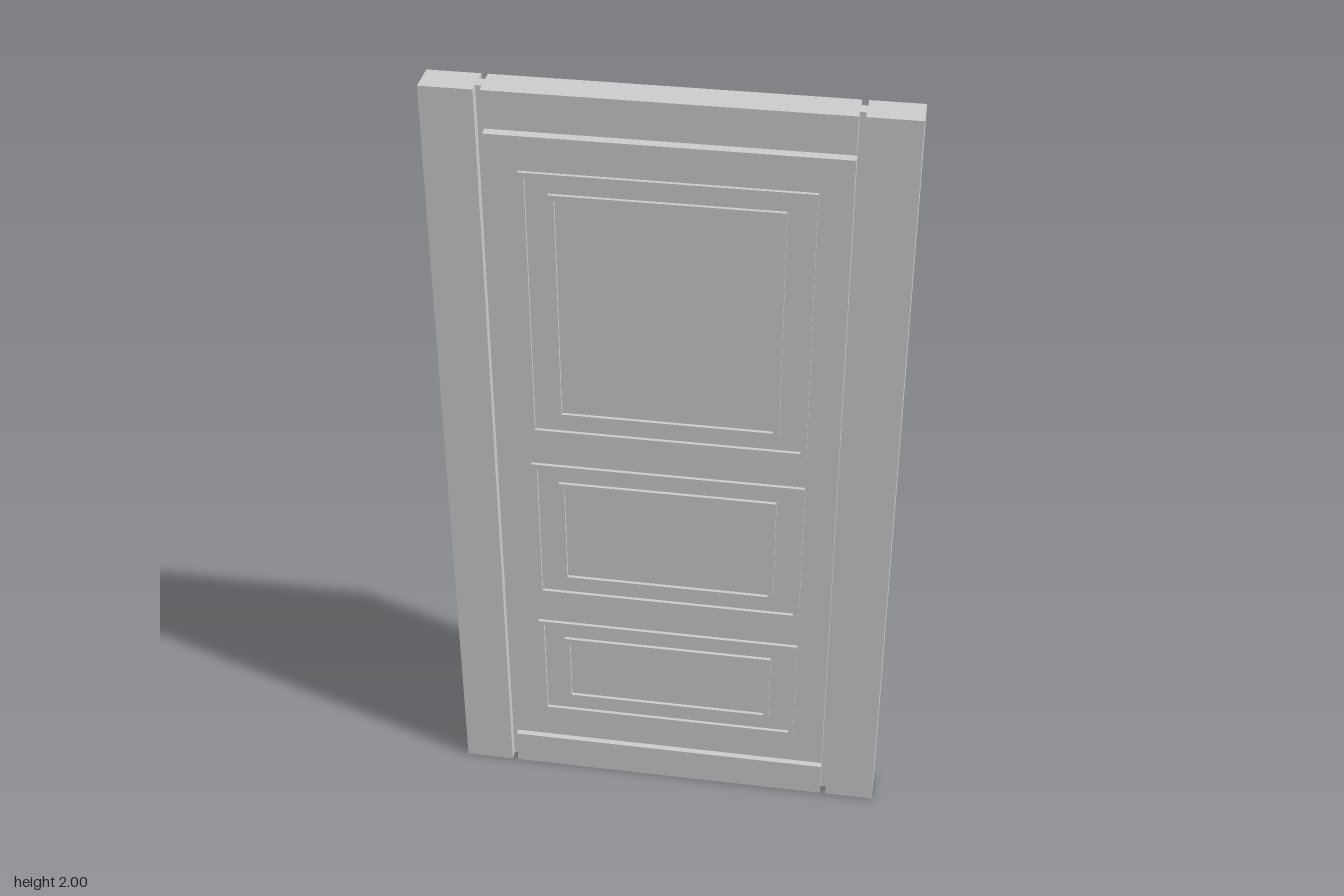
import * as THREE from 'three';

const material = new THREE.MeshStandardMaterial({ color: 0xcccccc, flatShading: true });
const HALF_DEPTH = 0.042;

// Box from its x, y and z limits
function block(name, x0, x1, y0, y1, halfZ) {
  const mesh = new THREE.Mesh(new THREE.BoxGeometry(x1 - x0, y1 - y0, halfZ * 2), material);
  mesh.position.set((x0 + x1) / 2, (y0 + y1) / 2, 0);
  mesh.name = name;
  return mesh;
}

function rectangle(path, halfW, y0, y1) {
  path.moveTo(-halfW, y0);
  path.lineTo(halfW, y0);
  path.lineTo(halfW, y1);
  path.lineTo(-halfW, y1);
  path.closePath();
  return path;
}

// Thin rectangular moulding standing proud of one door face
function moulding(name, halfW, y0, y1, side) {
  const width = 0.014, height = 0.0085, sunk = 0.002;
  const shape = rectangle(new THREE.Shape(), halfW, y0, y1);
  shape.holes.push(rectangle(new THREE.Path(), halfW - width, y0 + width, y1 - width));
  const geometry = new THREE.ExtrudeGeometry(shape, { depth: height + sunk, bevelEnabled: false });
  const mesh = new THREE.Mesh(geometry, material);
  mesh.position.z = side * (HALF_DEPTH - sunk);
  if (side < 0) mesh.rotation.y = Math.PI;
  mesh.name = name;
  return mesh;
}

export function createModel() {
  const door = new THREE.Group();
  door.name = 'panelledDoor';

  // Upright stiles at both sides
  door.add(block('leftStile', 0.43, 0.555, 0, 2, HALF_DEPTH));
  door.add(block('rightStile', -0.555, -0.43, 0, 2, HALF_DEPTH));

  // Rails and main leaf, separated by narrow grooves
  door.add(block('bottomRail', -0.415, 0.415, 0, 0.095, HALF_DEPTH));
  door.add(block('mainLeaf', -0.415, 0.415, 0.11, 1.895, HALF_DEPTH));
  door.add(block('topRail', -0.415, 0.415, 1.91, 2, HALF_DEPTH));

  // Core that forms the groove floors
  door.add(block('core', -0.432, 0.432, 0.001, 1.999, 0.017));

  // Three panels on each face, each with an outer and inner moulding
  const panels = [['lower', 0.2, 0.51], ['middle', 0.6, 1.01], ['upper', 1.1, 1.81]];
  for (const side of [1, -1]) {
    const face = side > 0 ? 'Front' : 'Back';
    for (const [label, y0, y1] of panels) {
      door.add(moulding(`${label}${face}OuterMoulding`, 0.337, y0, y1, side));
      door.add(moulding(`${label}${face}InnerMoulding`, 0.27, y0 + 0.052, y1 - 0.052, side));
    }
  }
  return door;
}
